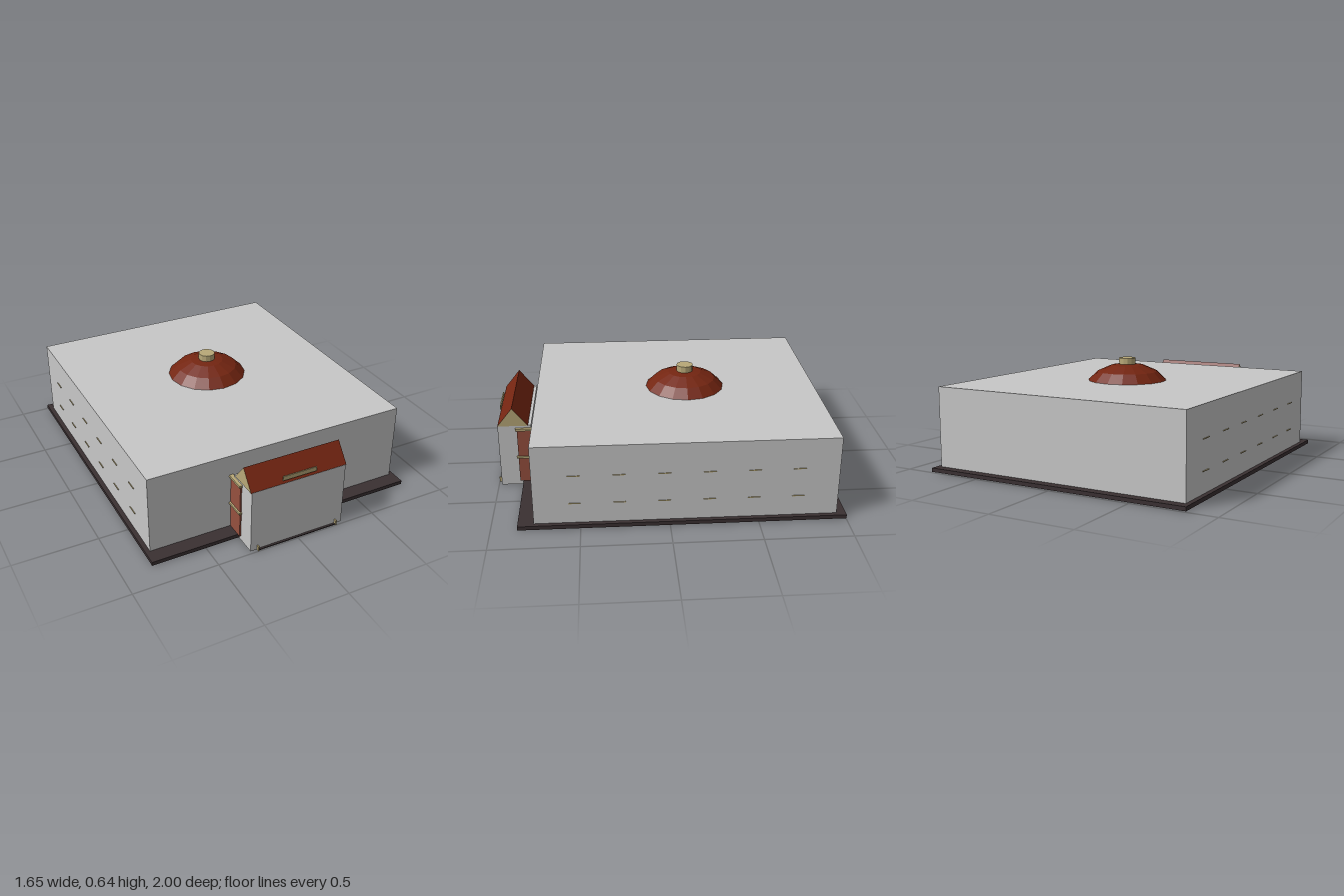
import * as THREE from 'three';

const mat = (name, color, flatShading = false) => {
  const m = new THREE.MeshStandardMaterial({ color, flatShading });
  m.name = name;
  return m;
};

export function createModel() {
  const model = new THREE.Group();
  model.name = 'domedHall';

  const wall = mat('paleGreyWall', 0xc8c8c8);
  const roofRed = mat('darkRedRoof', 0x742511, true);
  const brick = mat('brickRed', 0x96503f);
  const gold = mat('sandTrim', 0xb8a878, true);
  const dark = mat('darkStone', 0x3a3032);

  const add = (name, geometry, material, parent = model) => {
    const mesh = new THREE.Mesh(geometry, material);
    mesh.name = name;
    parent.add(mesh);
    return mesh;
  };
  // Box given by its extents on each axis
  const box = (name, [x0, x1], [y0, y1], [z0, z1], material, parent) => {
    const g = new THREE.BoxGeometry(x1 - x0, y1 - y0, z1 - z0);
    g.translate((x0 + x1) / 2, (y0 + y1) / 2, (z0 + z1) / 2);
    return add(name, g, material, parent);
  };

  // Main hall on its plinth
  box('plinth', [-0.825, 0.825], [0.005, 0.028], [-1, 0.85], dark);
  box('hall', [-0.798, 0.798], [0.004, 0.502], [-0.947, 0.76], wall);

  // Thin window sills, two rows on each long side
  const sills = new THREE.Group();
  sills.name = 'windowSills';
  model.add(sills);
  for (const side of [-1, 1]) {
    for (const y of [0.15, 0.321]) {
      for (let i = 0; i < 6; i++) {
        const sill = add('windowSill', new THREE.BoxGeometry(0.01, 0.004, 0.07), gold, sills);
        sill.position.set(side * 0.798, y, -0.72 + i * 0.25);
      }
    }
  }

  // Squashed faceted dome with a finial
  const dome = new THREE.Group();
  dome.name = 'domeGroup';
  dome.position.set(0, 0, -0.15);
  model.add(dome);
  const shell = add('dome',
    new THREE.SphereGeometry(0.26, 16, 4, 0, Math.PI * 2, 0, Math.PI / 2), roofRed, dome);
  shell.scale.y = 0.17 / 0.26;
  shell.position.y = 0.435;
  const finial = add('finial', new THREE.CylinderGeometry(0.05, 0.05, 0.06, 12), gold, dome);
  finial.position.y = 0.607;

  // Entrance porch with brick link to the hall
  const porch = new THREE.Group();
  porch.name = 'porch';
  model.add(porch);
  box('porchBlock', [-0.295, 0.295], [0.001, 0.395], [0.785, 0.982], wall, porch);
  box('brickLink', [-0.304, 0.304], [0.028, 0.37], [0.755, 0.87], brick, porch);
  // Trim bands on both flanks of the link
  for (const side of [-1, 1]) {
    for (const [y, h] of [[0.372, 0.014], [0.19, 0.012]]) {
      const band = add('trimBand', new THREE.BoxGeometry(0.024, h, 0.12), gold, porch);
      band.position.set(side * 0.302, y, 0.818);
    }
  }

  // Gabled roof: sand gable ends, red slopes
  const gable = new THREE.Shape();
  gable.moveTo(-0.09, 0);
  gable.lineTo(0.09, 0);
  gable.lineTo(0, 0.112);
  gable.closePath();
  const roofGeo = new THREE.ExtrudeGeometry(gable, { depth: 0.6, bevelEnabled: false });
  roofGeo.translate(0, 0, -0.3).rotateY(Math.PI / 2);
  const roof = add('porchRoof', roofGeo, [gold, roofRed], porch);
  roof.position.set(0, 0.394, 0.892);

  // Blank plaque over the front
  box('plaque', [-0.105, 0.105], [0.414, 0.44], [0.975, 0.982], gold, porch);

  // Doorstep and its two low posts
  box('doorstep', [-0.25, 0.25], [0, 0.006], [0.86, 0.994], dark, porch);
  for (const x of [-0.252, 0.252]) {
    box('stepPost', [x - 0.004, x + 0.004], [0, 0.03], [0.98, 1], gold, porch);
  }

  return model;
}
